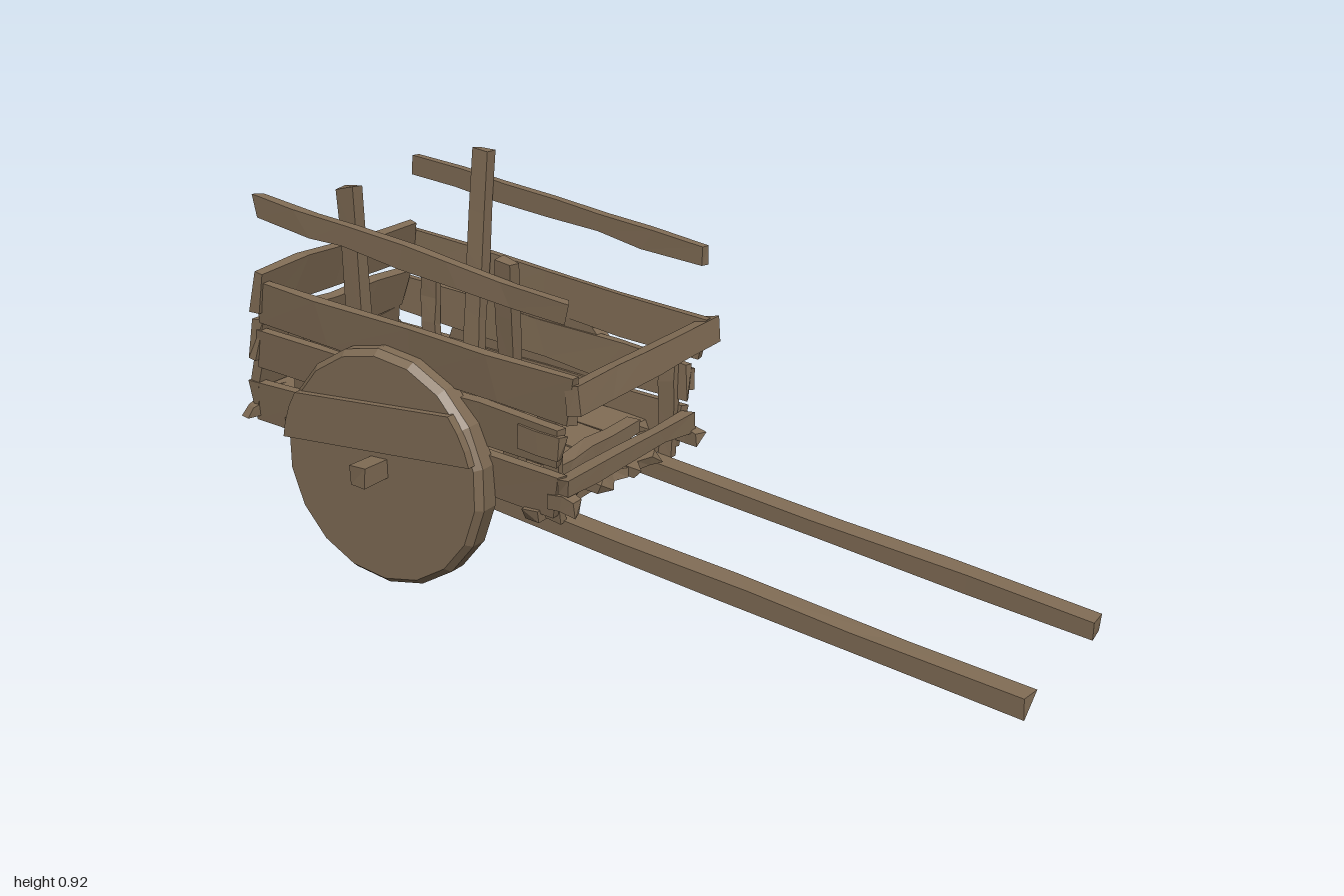
import * as THREE from 'three';

const V = (x, y, z) => new THREE.Vector3(x, y, z);

// Repeatable value in -1..1 from a position, so shared corners move together
function hash(x, y, z, seed) {
  const s = Math.sin(x * 127.1 + y * 311.7 + z * 74.7 + seed * 19.19) * 43758.5453;
  return (s - Math.floor(s)) * 2 - 1;
}

export function createModel() {
  const cart = new THREE.Group();
  cart.name = 'handCart';
  const wood = new THREE.MeshStandardMaterial({ color: 0x7f6b54, flatShading: true });
  wood.name = 'weatheredWood';
  let seed = 1;

  function add(name, geometry, parent = cart) {
    const mesh = new THREE.Mesh(geometry, wood);
    mesh.name = name;
    parent.add(mesh);
    return mesh;
  }

  // Rough-hewn plank from a to b; side is the direction of its thickness
  function plank(name, a, b, width, thick, side, { rough = 0.005, ragged = 0.008, segs = 4, rows = 1 } = {}) {
    const length = a.distanceTo(b);
    const geo = new THREE.BoxGeometry(length, width, thick, segs, rows, 1);
    const pos = geo.attributes.position;
    const s = seed++;
    for (let i = 0; i < pos.count; i++) {
      const x = pos.getX(i), y = pos.getY(i), z = pos.getZ(i);
      const k = [x, y, z].map((v) => Math.round(v * 1000) / 100);
      const end = Math.abs(x) > length / 2 - 0.001;
      pos.setXYZ(i,
        x + hash(...k, s) * (end ? ragged : length / segs * 0.2),
        y + hash(k[0], k[1], 0, s + 7) * rough,
        z + hash(k[0], 0, k[2], s + 13) * rough * 0.6);
    }
    const X = b.clone().sub(a).normalize();
    const Y = side.clone().cross(X).normalize();
    const Z = X.clone().cross(Y);
    geo.applyMatrix4(new THREE.Matrix4().makeBasis(X, Y, Z).setPosition(a.clone().add(b).multiplyScalar(0.5)));
    geo.computeVertexNormals();
    return add(name, geo);
  }
  const across = V(1, 0, 0), up = V(0, 1, 0), out = V(0, 0, 1);

  // Long shafts running under the whole bed
  for (const z of [0.212, -0.2]) {
    plank('shaft', V(-0.99, 0.325, z), V(0.985, 0.055, z), 0.042, 0.055, out, { rough: 0.003, segs: 6 });
  }

  // Cross beams under the floor
  for (const [x, y] of [[-0.17, 0.245], [-0.5, 0.288], [-0.86, 0.335]]) {
    plank('crossBeam', V(x, y - 0.005, 0.28), V(x, y + 0.004, -0.265), 0.045, 0.03, up, { rough: 0.003 });
  }

  // Floor boards with broken ends
  const floor = [[0.205, 0.13, -0.11], [0.075, 0.125, -0.08], [-0.055, 0.125, -0.07], [-0.19, 0.13, -0.2]];
  for (const [z, w, end] of floor) {
    plank('floorBoard', V(-0.97, 0.385, z), V(end, 0.38 - (end + 0.97) * 0.122, z), w, 0.024, up,
      { ragged: 0.025, rows: 3, rough: 0.004 });
  }

  // Three planks on each side, sloping down towards the shafts
  const sides = [
    [-0.99, 0.37, -0.1, 0.298, 0.265, 0.105],
    [-0.965, 0.505, -0.085, 0.412, 0.272, 0.098],
    [-0.945, 0.628, -0.05, 0.528, 0.28, 0.107],
  ];
  for (const dir of [1, -1]) {
    for (const [x0, y0, x1, y1, z, w] of sides) {
      const flare = dir < 0 ? 0.015 : 0;
      plank('sidePlank', V(x0, y0, dir * (z + flare)), V(x1, y1, dir * z), w, 0.024,
        V(0, -0.08 * dir, 1), { ragged: 0.012, rough: 0.006 });
    }
    // Battens tying the side planks together inside
    for (const x of [-0.85, -0.13]) {
      const y = 0.32 - (x + 0.55) * 0.13;
      plank('sideBatten', V(x, y - 0.04, dir * 0.243), V(x, y + 0.22, dir * 0.255), 0.045, 0.022, out);
    }
  }

  // Tailboard planks leaning with the bed
  const tail = [[-0.98, 0.365, 0.27, 0.07], [-0.975, 0.44, 0.285, 0.075], [-0.958, 0.53, 0.29, 0.1], [-0.932, 0.655, 0.31, 0.105]];
  for (const [x, y, z, w] of tail) {
    plank('tailPlank', V(x, y, z), V(x, y + 0.003, 0.02 - z), w, 0.026, V(1, -0.22, 0), { ragged: 0.015, rough: 0.007 });
  }
  plank('tailSplinter', V(-0.985, 0.345, 0.3), V(-0.985, 0.345, 0.13), 0.03, 0.03, across, { ragged: 0.02 });
  plank('tailSplinter', V(-0.985, 0.4, -0.29), V(-0.985, 0.39, -0.16), 0.035, 0.03, across, { ragged: 0.02 });

  // Front end: top bar, lower bar and a loose sill
  plank('frontTopBar', V(-0.045, 0.536, 0.295), V(-0.045, 0.54, -0.32), 0.065, 0.034, V(1, 0.14, 0), { rough: 0.003 });
  plank('frontLowerBar', V(-0.085, 0.318, 0.275), V(-0.085, 0.315, -0.265), 0.042, 0.035, across, { rough: 0.007 });
  plank('frontSill', V(-0.17, 0.315, 0.25), V(-0.15, 0.335, -0.13), 0.035, 0.04, across);
  for (const z of [0.265, -0.265]) {
    plank('beamEnd', V(-0.12, 0.285, z), V(-0.05, 0.277, z), 0.035, 0.03, out, { segs: 2, ragged: 0.012 });
    plank('brokenBatten', V(-0.19, 0.43, z * 1.07), V(-0.085, 0.415, z * 1.07), 0.055, 0.02, out, { segs: 2, ragged: 0.012 });
  }

  // Upright stakes inside the bed
  const stakes = [
    [-0.69, 0.35, 0.21, -0.692, 0.92, 0.23, 0.052],
    [-0.262, 0.3, 0.205, -0.242, 0.81, 0.25, 0.042],
    [-0.7, 0.36, -0.225, -0.69, 0.918, -0.287, 0.052],
  ];
  for (const [x0, y0, z0, x1, y1, z1, w] of stakes) {
    plank('stake', V(x0, y0, z0), V(x1, y1, z1), w, 0.034, out, { rough: 0.004 });
  }

  // Hand rails outside the stakes
  for (const z of [0.278, -0.305]) {
    plank('rail', V(-0.93, 0.857, z), V(-0.065, 0.725, z), 0.05, 0.026, out, { rough: 0.005, ragged: 0.012, segs: 6 });
  }

  // Axle with square ends
  plank('axle', V(-0.555, 0.298, 0.41), V(-0.555, 0.298, -0.41), 0.046, 0.046, across, { rough: 0.003, segs: 6 });

  // Solid disc wheels with a chamfered face and a raised board
  const R = 0.288;
  const chord = new THREE.Shape();
  [10, 18, 27, 36, 144, 153, 162, 170].forEach((deg, i) => {
    const a = THREE.MathUtils.degToRad(deg), r = R * 0.96;
    chord[i ? 'lineTo' : 'moveTo'](Math.cos(a) * r, Math.sin(a) * r);
  });
  chord.closePath();
  for (const dir of [1, -1]) {
    const wheel = new THREE.Group();
    wheel.name = dir > 0 ? 'frontWheel' : 'backWheel';
    const profile = [[0, 0.275], [R, 0.275], [R, 0.318], [R * 0.95, 0.335], [0, 0.335]];
    const disc = new THREE.LatheGeometry(profile.map(([r, h]) => new THREE.Vector2(r, h)), 18).rotateX(Math.PI / 2);
    add('wheelDisc', disc, wheel);
    const board = new THREE.ExtrudeGeometry(chord, { depth: 0.022, bevelEnabled: false })
      .rotateZ(0.045 * dir).translate(0, 0, 0.33);
    add('wheelBoard', board, wheel);
    if (dir < 0) wheel.rotation.y = Math.PI;
    wheel.position.set(-0.555, R + 0.003, 0);
    cart.add(wheel);
  }

  // Set the wheels on the ground and centre the whole cart
  const box = new THREE.Box3().setFromObject(cart);
  const c = box.getCenter(V(0, 0, 0));
  for (const part of cart.children) part.position.add(V(-c.x, -box.min.y, -c.z));
  return cart;
}
